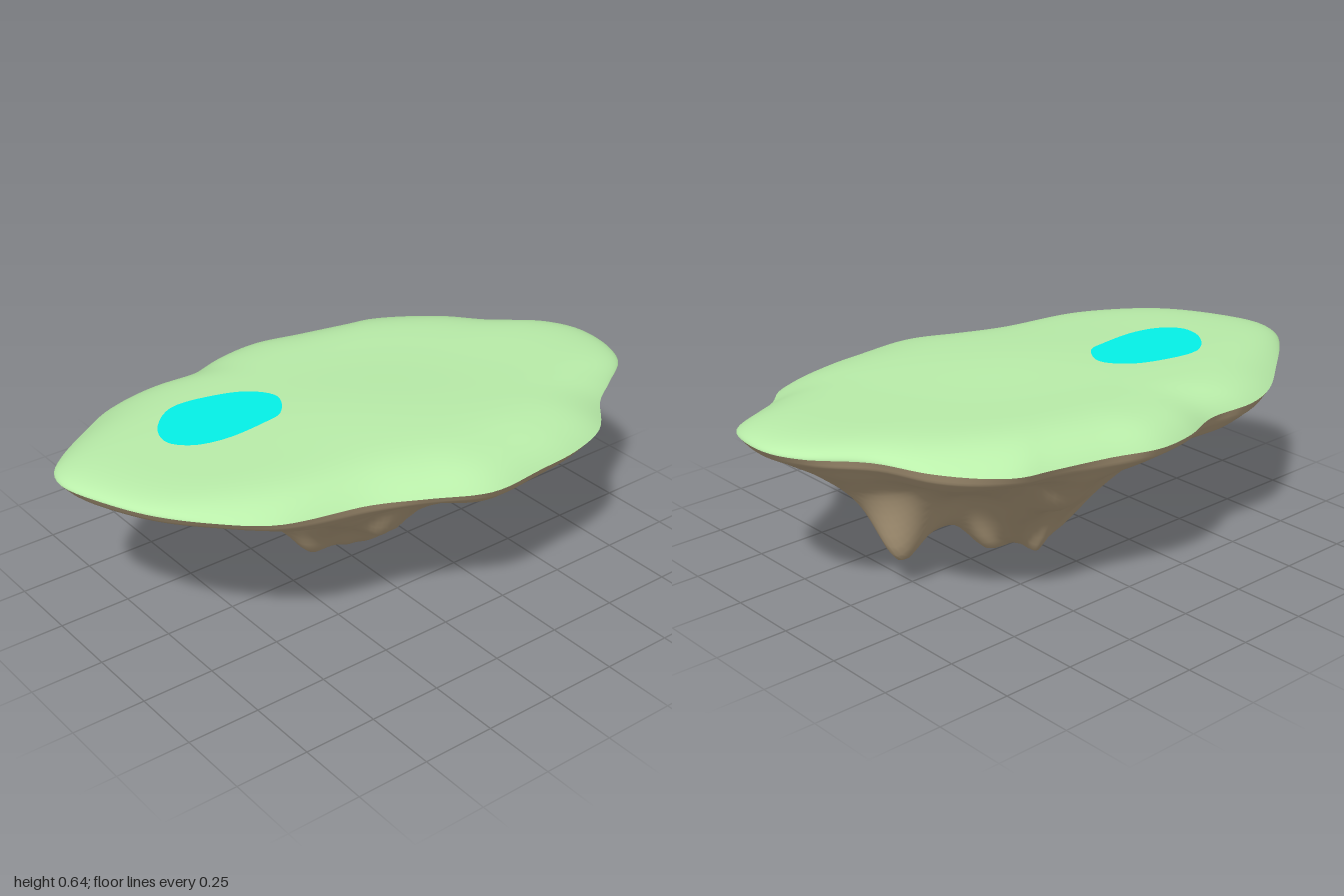
import * as THREE from 'three';

const CX = 0.05, CZ = -0.05; // axis of the rock
const SEGMENTS = 160, RINGS = 48;

const curveFrom = (pts) => new THREE.CatmullRomCurve3(
  pts.map(([x, z]) => new THREE.Vector3(x, 0, z)), true, 'centripetal');

// Shoreline as x, z pairs
const coast = curveFrom([
  [1, 0.07], [0.96, 0.27], [0.82, 0.37], [0.72, 0.43], [0.6, 0.55], [0.45, 0.6],
  [0.27, 0.62], [0.1, 0.635], [0.02, 0.62], [-0.13, 0.55], [-0.3, 0.475], [-0.6, 0.405],
  [-0.75, 0.3], [-0.87, 0.17], [-0.95, 0.02], [-1, -0.15], [-0.98, -0.24], [-0.92, -0.31],
  [-0.75, -0.44], [-0.6, -0.54], [-0.48, -0.575], [-0.28, -0.575], [-0.13, -0.625],
  [0.02, -0.64], [0.2, -0.595], [0.4, -0.55], [0.5, -0.53], [0.6, -0.47], [0.71, -0.36],
  [0.8, -0.21], [0.95, -0.06],
]).getSpacedPoints(SEGMENTS).slice(0, SEGMENTS);

const pondEdge = curveFrom([
  [-0.65, -0.1], [-0.63, -0.19], [-0.52, -0.285], [-0.36, -0.27], [-0.25, -0.22],
  [-0.2, -0.14], [-0.26, -0.04], [-0.34, -0.02], [-0.5, -0.01], [-0.6, -0.04],
]).getPoints(50);

// Depth of the rock below the rim: [fraction of the way to the shore, depth]
const PROFILE = [[0, 0.55], [0.1, 0.53], [0.16, 0.495], [0.22, 0.45], [0.3, 0.395],
  [0.4, 0.335], [0.5, 0.27], [0.62, 0.195], [0.76, 0.12], [0.9, 0.075], [0.97, 0.035], [1, 0]];

// Spurs (+) and hollows (-): x, z, depth, radius
const LUMPS = [
  [0.05, -0.1, 0.045, 0.045], [0.57, -0.02, 0.22, 0.1], [0.74, 0, 0.06, 0.12],
  [0.42, 0.01, 0.05, 0.09], [0.2, -0.02, 0.05, 0.08], [-0.17, -0.01, 0.06, 0.07],
  [-0.05, 0.21, 0.06, 0.07], [-0.2, 0.29, 0.045, 0.09], [-0.6, 0, 0.05, 0.11],
  [0.2, 0.33, -0.08, 0.13], [-0.27, -0.2, -0.06, 0.12], [-0.33, 0.15, -0.05, 0.1],
  [0.38, -0.17, -0.04, 0.1], [0.2, -0.4, 0.07, 0.1], [-0.08, -0.38, -0.03, 0.09],
];

function profileDepth(s) {
  let i = 1;
  while (i < PROFILE.length - 1 && PROFILE[i][0] < s) i++;
  const [s0, d0] = PROFILE[i - 1], [s1, d1] = PROFILE[i];
  return THREE.MathUtils.mapLinear(s, s0, s1, d0, d1);
}

const rimHeight = (x, z) => 0.59 - 0.11 * z * z + 0.004 * Math.sin(7 * x + 1);

// Flat meadow with a slight swell, rolling off more gently at the front and back
function grassHeight(x, z, s) {
  const rim = rimHeight(x, z);
  const swell = 0.012 * Math.exp(-6 * x * x - 10 * (z - 0.1) ** 2);
  const top = 0.636 + swell + 0.003 * Math.sin(6 * x + 2.5) * Math.cos(7 * z);
  const ends = THREE.MathUtils.smoothstep(Math.abs(z), 0.15, 0.5);
  return rim + (top - rim) * Math.max(0, 1 - s ** (9 - 2.5 * ends)) ** (0.55 + 0.45 * ends);
}

function rockHeight(x, z, s) {
  const angle = Math.atan2(z - CZ, x - CX);
  const fade = 9.5 * s ** 3 * (1 - s);
  let depth = profileDepth(s);
  for (const [lx, lz, amount, radius] of LUMPS) {
    const d2 = ((x - lx) ** 2 + (z - lz) ** 2) / (radius * radius);
    depth += amount * Math.exp(-d2) * Math.min(1, 8 * (1 - s));
  }
  // Eroded folds running down from the rim, and rough facets across them
  const folds = 0.016 * Math.sin(7 * angle + 5 * s);
  const rough = 0.01 * Math.sin(17 * x + 9 * z) * Math.sin(15 * z - 8 * x);
  return Math.max(0, rimHeight(x, z) - Math.max(0, depth + folds * fade + rough * (1 - s)));
}

// Disc of rings shrinking from the shore to the centre, raised by a height rule
function islandSurface(height, faceUp) {
  const pos = [CX, height(CX, CZ, 0), CZ], index = [];
  const tri = (a, b, c) => (faceUp ? index.push(a, c, b) : index.push(a, b, c));
  for (let r = 1; r <= RINGS; r++) {
    const s = Math.sin((r / RINGS) * Math.PI / 2); // denser rings near the rim
    for (const p of coast) {
      const x = CX + (p.x - CX) * s, z = CZ + (p.z - CZ) * s;
      pos.push(x, height(x, z, s), z);
    }
  }
  for (let j = 0; j < SEGMENTS; j++) {
    const k = (j + 1) % SEGMENTS;
    tri(0, 1 + j, 1 + k);
    for (let r = 0; r < RINGS - 1; r++) {
      const a = 1 + r * SEGMENTS, b = a + SEGMENTS;
      tri(a + j, b + j, b + k);
      tri(a + j, b + k, a + k);
    }
  }
  const geo = new THREE.BufferGeometry();
  geo.setAttribute('position', new THREE.Float32BufferAttribute(pos, 3));
  geo.setIndex(index);
  geo.computeVertexNormals();
  return geo;
}

export function createModel() {
  const group = new THREE.Group();
  group.name = 'floatingIsland';
  const add = (name, geometry, color) => {
    const mesh = new THREE.Mesh(geometry, new THREE.MeshStandardMaterial({ color }));
    mesh.name = name;
    group.add(mesh);
    return mesh;
  };

  add('grassTop', islandSurface(grassHeight, true), 0xbaeeaa);
  add('rockUnderside', islandSurface(rockHeight, false), 0xd4bc96);

  // Flat pond lying on the grass
  const pondShape = new THREE.Shape(pondEdge.map((p) => new THREE.Vector2(p.x, -p.z)));
  const pond = add('pond', new THREE.ShapeGeometry(pondShape).rotateX(-Math.PI / 2), 0x04f4ea);
  pond.position.y = 0.645;

  return group;
}
